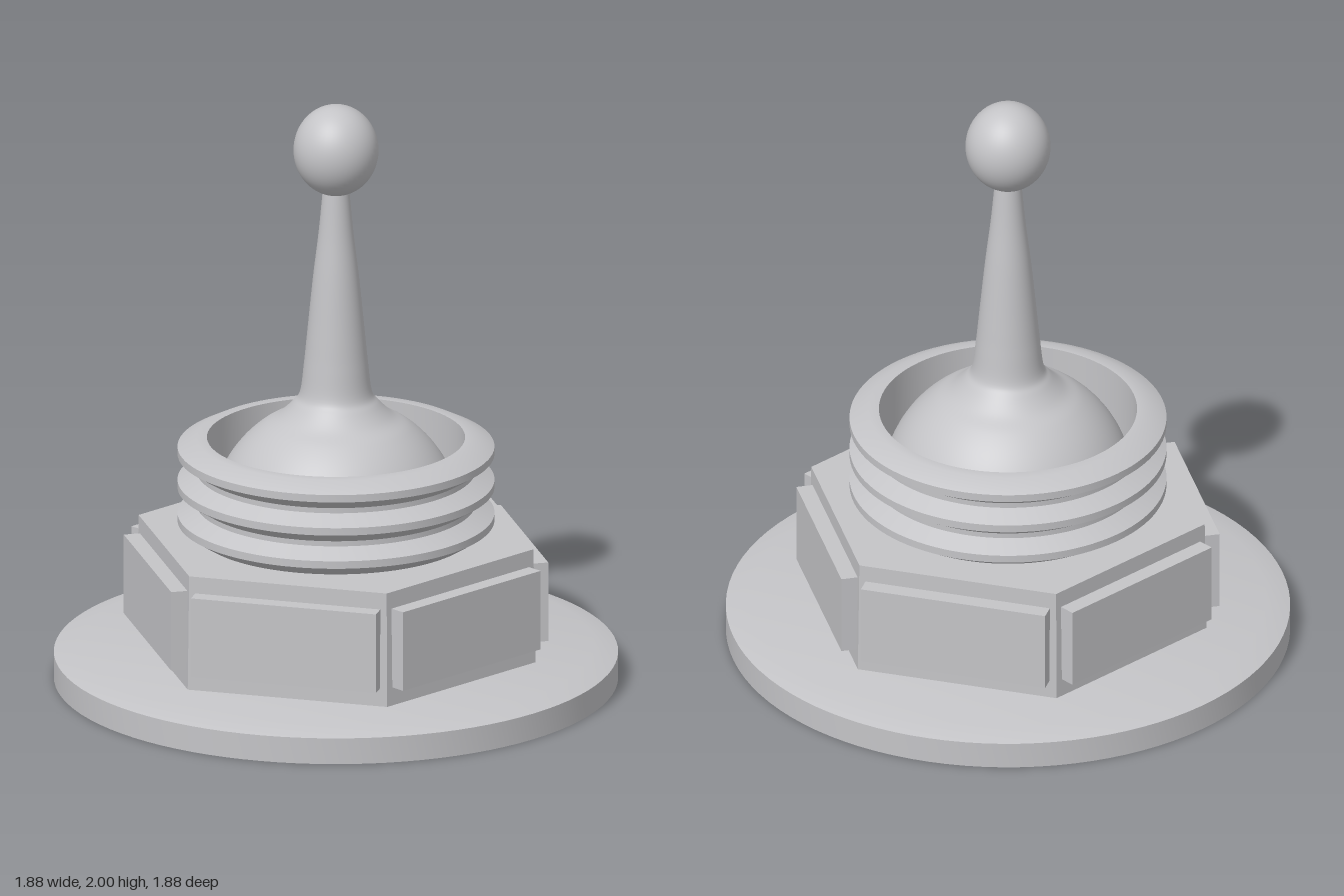
import * as THREE from 'three';
import { toCreasedNormals } from 'three/addons/utils/BufferGeometryUtils.js';

export function createModel() {
  const model = new THREE.Group();
  model.name = 'toggleSwitch';
  const metal = new THREE.MeshStandardMaterial({ color: 0xc4c4c7 });
  metal.name = 'light grey metal';

  const add = (name, geometry, parent = model) => {
    const mesh = new THREE.Mesh(geometry, metal);
    mesh.name = name;
    parent.add(mesh);
    return mesh;
  };
  const sharp = (geometry) => toCreasedNormals(geometry, Math.PI / 6);
  const lathe = (points) =>
    new THREE.LatheGeometry(points.map(([r, y]) => new THREE.Vector2(r, y)), 96);

  // Washer with a shallow bevelled rim
  add('washer', sharp(lathe([[0, 0], [0.94, 0], [0.94, 0.09], [0.86, 0.112], [0, 0.112]])));

  // Hexagonal nut, corners pointing to front and back
  const nutHeight = 0.395;
  const nut = add('hexNut', sharp(new THREE.CylinderGeometry(0.683, 0.69, nutHeight, 6)));
  nut.position.y = 0.112 + nutHeight / 2;

  // Raised panel on each face of the nut
  const panels = new THREE.Group();
  panels.name = 'nutPanels';
  model.add(panels);
  for (let i = 0; i < 6; i++) {
    const angle = (i * Math.PI) / 3;
    const panel = add('nutPanel', new THREE.BoxGeometry(0.1, 0.275, 0.64), panels);
    panel.position.set(Math.cos(angle) * 0.598, 0.312, -Math.sin(angle) * 0.598);
    panel.rotation.y = angle;
  }

  // Hollow collar with three thread ridges
  const collar = [[0.43, 0.5]];
  for (let i = 0; i < 3; i++) {
    const y = 0.51 + i * 0.116;
    collar.push([0.465, y], [0.528, y + 0.04], [0.528, y + 0.066], [0.465, y + 0.098]);
  }
  collar.push([0.43, 0.84], [0.43, 0.5]);
  add('threadedCollar', sharp(lathe(collar)));

  // Dome: a spherical cap that flows into the tapering lever
  const profile = [];
  for (let i = 0; i <= 7; i++) {
    const a = (i / 7) * 1.1;
    profile.push(new THREE.Vector2(0.42 * Math.cos(a), 0.543 + 0.42 * Math.sin(a)));
  }
  for (const [r, y] of [[0.145, 0.962], [0.12, 1.0], [0.107, 1.1], [0.097, 1.2],
    [0.077, 1.4], [0.058, 1.56], [0.043, 1.72]]) profile.push(new THREE.Vector2(r, y));
  const curve = new THREE.SplineCurve(profile);
  add('domeAndLever', new THREE.LatheGeometry(curve.getPoints(80), 64));

  // Slightly elongated knob
  const knob = add('knob', new THREE.SphereGeometry(0.142, 48, 32));
  knob.scale.y = 0.155 / 0.142;
  knob.position.y = 1.845;

  return model;
}
